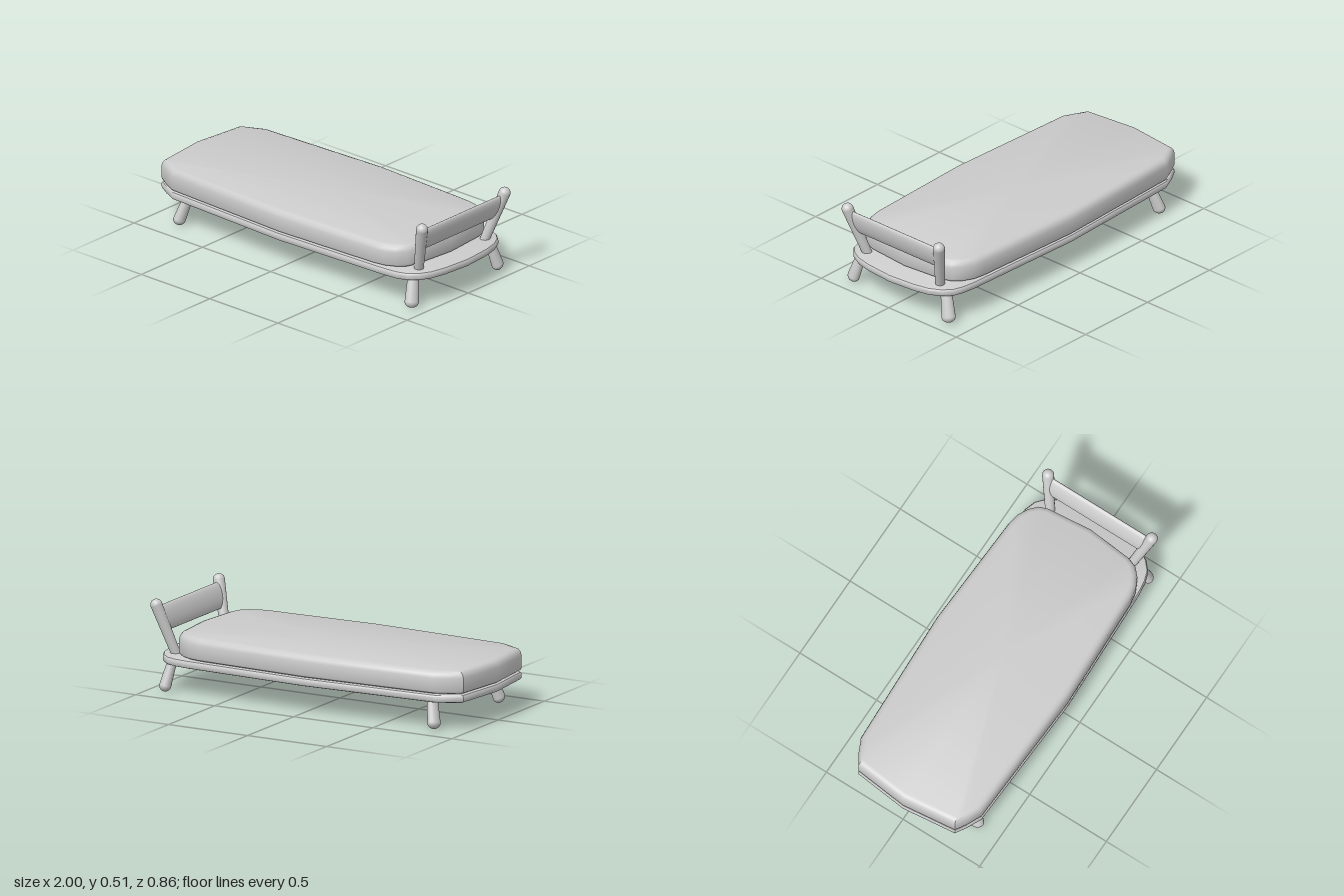
import * as THREE from 'three';
import { toCreasedNormals } from 'three/addons/utils/BufferGeometryUtils.js';

const material = new THREE.MeshStandardMaterial({ color: 0xcccccc });

function addMesh(parent, name, geometry) {
  const mesh = new THREE.Mesh(geometry, material);
  mesh.name = name;
  parent.add(mesh);
  return mesh;
}

// Closed slab: an outline mirrored in z, lofted through [inset, y] rings.
function slab(half, profile) {
  const outline = [...half, ...half.slice(1, -1).reverse().map(([x, z]) => [x, -z])];
  const n = outline.length;
  const positions = [];
  const index = [];
  for (const [inset, y] of profile) {
    outline.forEach(([x, z], i) => {
      const a = outline[(i + n - 1) % n];
      const b = outline[(i + 1) % n];
      const len = Math.hypot(b[0] - a[0], b[1] - a[1]);
      positions.push(x + (inset * (b[1] - a[1])) / len, y, z - (inset * (b[0] - a[0])) / len);
    });
  }
  const rings = profile.length;
  const bottom = rings * n;
  positions.push(0, profile[0][1], 0, 0, profile[rings - 1][1], 0);
  for (let i = 0; i < n; i++) {
    const j = (i + 1) % n;
    for (let r = 0; r < rings - 1; r++) {
      const a = r * n;
      const b = a + n;
      index.push(a + i, a + j, b + j, a + i, b + j, b + i);
    }
    index.push(bottom, j, i);
    index.push(bottom + 1, (rings - 1) * n + i, (rings - 1) * n + j);
  }
  const geometry = new THREE.BufferGeometry();
  geometry.setAttribute('position', new THREE.Float32BufferAttribute(positions, 3));
  geometry.setIndex(index);
  return toCreasedNormals(geometry, 0.62);
}

// Tapered round peg from a plain end to a domed end.
function addPeg(parent, name, from, to, r0, r1, widen = 1) {
  const start = new THREE.Vector3(...from);
  const axis = new THREE.Vector3(...to).sub(start);
  const length = axis.length();
  const points = [new THREE.Vector2(r0, 0)];
  for (let i = 0; i <= 6; i++) {
    const a = (i / 6) * Math.PI / 2;
    points.push(new THREE.Vector2(i === 6 ? 0 : r1 * Math.cos(a), length + r1 * Math.sin(a)));
  }
  const peg = addMesh(parent, name, new THREE.LatheGeometry(points, 20));
  peg.scale.x = widen;
  peg.position.copy(start);
  peg.quaternion.setFromUnitVectors(new THREE.Vector3(0, 1, 0), axis.normalize());
}

export function createModel() {
  const bed = new THREE.Group();
  bed.name = 'bed';

  // Both slabs share the faceted foot end and the bowed long sides
  const footEnd = [[-1, 0], [-0.965, 0.315], [-0.9, 0.355], [-0.82, 0.393], [-0.01, 0.428]];

  addMesh(bed, 'bedBoard', slab(
    [...footEnd, [0.74, 0.4], [0.82, 0.39], [0.88, 0.37], [0.93, 0.325], [0.965, 0.26], [0.985, 0.17], [1, 0]],
    [[0.02, 0.155], [0.006, 0.16], [0, 0.17], [0, 0.19], [0.006, 0.199], [0.02, 0.204]],
  ));

  addMesh(bed, 'mattress', slab(
    [...footEnd, [0.66, 0.4], [0.73, 0.388], [0.79, 0.358], [0.835, 0.315], [0.855, 0.26], [0.88, 0]],
    [[0.02, 0.205], [0.006, 0.212], [0, 0.224], [0, 0.295], [0.006, 0.315], [0.018, 0.329], [0.036, 0.335]],
  ));

  // Splayed legs
  for (const side of [1, -1]) {
    addPeg(bed, 'footLeg', [-0.767, 0.17, side * 0.312], [-0.8, 0.034, side * 0.351], 0.026, 0.033, 1.25);
    addPeg(bed, 'headLeg', [0.877, 0.17, side * 0.312], [0.9, 0.034, side * 0.351], 0.026, 0.033, 1.2);
  }

  // Headboard: leaning posts and a flattened rail between them
  const headboard = new THREE.Group();
  headboard.name = 'headboard';
  bed.add(headboard);
  for (const side of [1, -1]) {
    addPeg(headboard, 'headPost', [0.877, 0.19, side * 0.268], [0.964, 0.478, side * 0.338], 0.026, 0.033);
  }
  const railGeometry = new THREE.CylinderGeometry(1, 1, 0.63, 28);
  railGeometry.rotateX(Math.PI / 2).scale(0.022, 0.072, 1);
  const rail = addMesh(headboard, 'headRail', railGeometry);
  rail.position.set(0.939, 0.4, 0);
  rail.rotation.z = -0.29;

  return bed;
}
